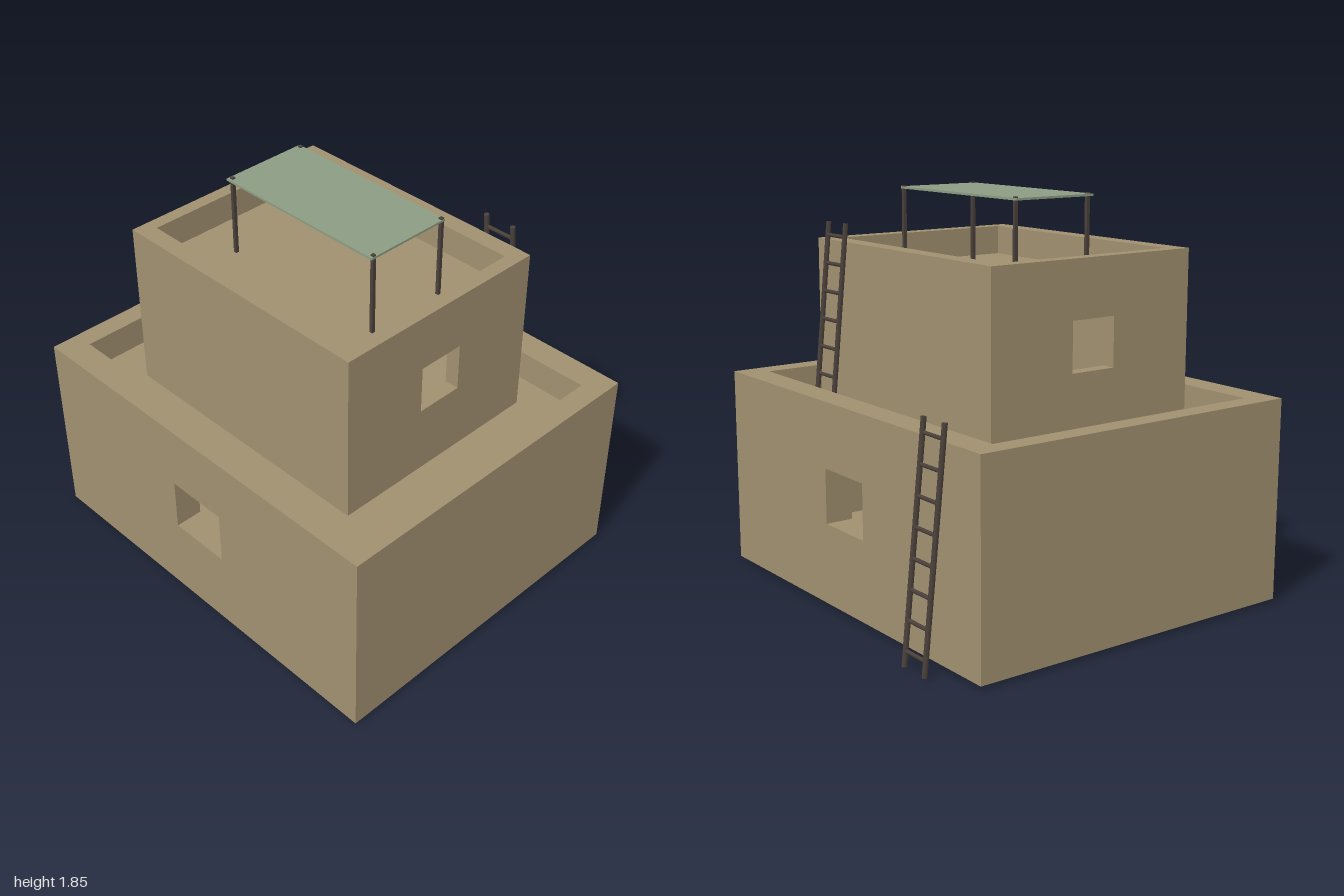
import * as THREE from 'three';

const clay = new THREE.MeshStandardMaterial({ color: 0xa09070 });
clay.name = 'clay';
const darkWood = new THREE.MeshStandardMaterial({ color: 0x4a403a });
darkWood.name = 'dark wood';
const cloth = new THREE.MeshStandardMaterial({ color: 0x8c9c82 });
cloth.name = 'green cloth';

function add(parent, name, geometry, material) {
  const mesh = new THREE.Mesh(geometry, material);
  mesh.name = name;
  parent.add(mesh);
  return mesh;
}

// Box given by its lower and upper corners
function block(parent, name, a, b, material) {
  const g = new THREE.BoxGeometry(b[0] - a[0], b[1] - a[1], b[2] - a[2]);
  g.translate((a[0] + b[0]) / 2, (a[1] + b[1]) / 2, (a[2] + b[2]) / 2);
  return add(parent, name, g, material);
}

const rect = (P, u0, u1, y0, y1) =>
  new P([[u0, y0], [u1, y0], [u1, y1], [u0, y1]].map(p => new THREE.Vector2(...p)));

// Upright wall with an optional window opening [u0, u1, y0, y1]
function wallGeometry(u0, u1, y0, y1, thickness, opening) {
  const shape = rect(THREE.Shape, u0, u1, y0, y1);
  if (opening) shape.holes.push(rect(THREE.Path, ...opening));
  return new THREE.ExtrudeGeometry(shape, { depth: thickness, bevelEnabled: false });
}

// Hollow storey: four walls rising past the roof as a parapet, a floor and a roof
function storey(name, { outer, inner, y, floorTop, roof, frontWindow, sideWindow }) {
  const group = new THREE.Group();
  group.name = name;
  const [x0, x1, z0, z1] = outer;
  const [a0, a1, c0, c1] = inner;

  const left = wallGeometry(z0, z1, y[0], y[1], x1 - a1, sideWindow).rotateY(-Math.PI / 2);
  add(group, 'leftWall', left.translate(x1, 0, 0), clay);
  const right = wallGeometry(z0, z1, y[0], y[1], a0 - x0, sideWindow).rotateY(-Math.PI / 2);
  add(group, 'rightWall', right.translate(a0, 0, 0), clay);

  const front = wallGeometry(a0, a1, y[0], y[1], z1 - c1, frontWindow);
  add(group, 'frontWall', front.translate(0, 0, c1), clay);
  const back = wallGeometry(a0, a1, y[0], y[1], c0 - z0, frontWindow);
  add(group, 'backWall', back.translate(0, 0, z0), clay);

  block(group, 'floor', [a0, y[0], c0], [a1, floorTop, c1], clay);
  block(group, 'roof', [a0, roof[0], c0], [a1, roof[1], c1], clay);
  return group;
}

// Round bar between two points
function bar(parent, name, a, b, radius) {
  const p = new THREE.Vector3(...a), q = new THREE.Vector3(...b);
  const dir = q.clone().sub(p);
  const mesh = add(parent, name, new THREE.CylinderGeometry(radius, radius, dir.length(), 8), darkWood);
  mesh.position.copy(p).add(q).multiplyScalar(0.5);
  mesh.quaternion.setFromUnitVectors(new THREE.Vector3(0, 1, 0), dir.normalize());
}

// Leaning ladder: foot and top are [x, y]
function ladder(name, foot, top, z0, z1, firstRung, rungs) {
  const group = new THREE.Group();
  group.name = name;
  for (const z of [z0, z1]) bar(group, 'rail', [...foot, z], [...top, z], 0.012);
  for (let i = 0; i < rungs; i++) {
    const y = firstRung + i * 0.128;
    const x = foot[0] + (top[0] - foot[0]) * (y - foot[1]) / (top[1] - foot[1]);
    bar(group, 'rung', [x, y, z0], [x, y, z1], 0.009);
  }
  return group;
}

export function createModel() {
  const model = new THREE.Group();
  model.name = 'mudBrickHouse';

  model.add(storey('lowerStorey', {
    outer: [-0.895, 0.762, -1, 1], inner: [-0.763, 0.63, -0.9, 0.895],
    y: [0.015, 0.95], floorTop: 0.16, roof: [0.7, 0.805],
    sideWindow: [-0.15, 0.155, 0.39, 0.645],
  }));
  model.add(storey('upperStorey', {
    outer: [-0.61, 0.475, -0.683, 0.66], inner: [-0.525, 0.39, -0.62, 0.592],
    y: [0.805, 1.607], floorTop: 0.945, roof: [1.38, 1.47],
    frontWindow: [-0.18, 0.048, 1.122, 1.347],
  }));

  // Ladders on the left side
  model.add(ladder('lowerLadder', [0.874, 0.002], [0.768, 1.03], -0.775, -0.63, 0.07, 8));
  model.add(ladder('upperLadder', [0.574, 0.807], [0.484, 1.693], 0.4, 0.547, 0.863, 7));

  // Canopy on four posts
  const canopy = new THREE.Group();
  canopy.name = 'canopy';
  block(canopy, 'canopySheet', [-0.285, 1.832, -0.415], [0.142, 1.842, 0.46], cloth);
  for (const x of [-0.266, 0.132])
    for (const z of [-0.397, 0.45])
      block(canopy, 'post', [x - 0.008, 1.47, z - 0.008], [x + 0.008, 1.848, z + 0.008], darkWood);
  model.add(canopy);
  return model;
}
